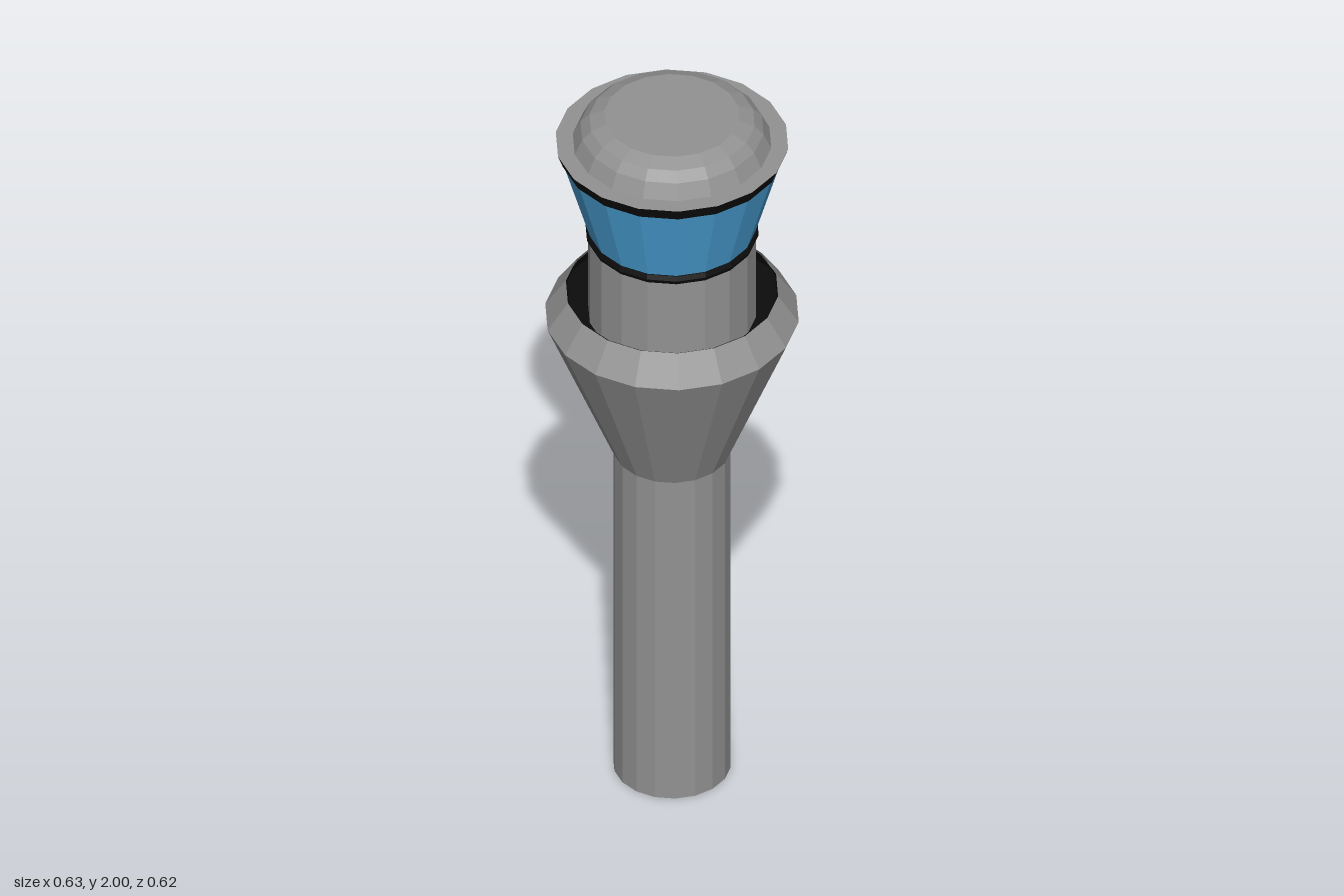
import * as THREE from 'three';

const SIDES = 18;

export function createModel() {
  const tower = new THREE.Group();
  tower.name = 'controlTower';

  const material = (name, color, options = {}) =>
    new THREE.MeshStandardMaterial({ name, color, ...options });
  const concrete = material('concrete grey', 0x929292, { flatShading: true, side: THREE.DoubleSide });
  const glass = material('window blue', 0x4ba2d8, { flatShading: true, side: THREE.DoubleSide });
  const trim = material('trim black', 0x0c0c0c, { flatShading: true, side: THREE.DoubleSide });

  // Turns a profile of [radius, height] points, listed bottom to top, around the axis
  const turn = (name, profile, mat) => {
    const points = profile.map(([r, y]) => new THREE.Vector2(r, y));
    const geometry = new THREE.LatheGeometry(points, SIDES, Math.PI / 2);
    const mesh = new THREE.Mesh(geometry, mat);
    mesh.name = name;
    tower.add(mesh);
  };

  // Hollow shaft and the flared collar on top of it
  turn('shaft', [[0.145, 0], [0.145, 0.98]], concrete);
  turn('collar', [[0.145, 0.975], [0.313, 1.39], [0.262, 1.465]], concrete);

  // Dark recess inside the collar
  turn('collarRecess', [[0.2, 1.395], [0.298, 1.395], [0.258, 1.463]], trim);

  // Neck below the cab
  turn('neck', [[0.207, 1.39], [0.207, 1.65]], concrete);

  // Cab: sill, slanted windows and top band
  turn('windowSill', [[0.2, 1.638], [0.209, 1.638], [0.214, 1.65], [0.209, 1.662], [0.2, 1.662]], trim);
  turn('windows', [[0.203, 1.65], [0.272, 1.89]], glass);
  turn('roofBand', [[0.268, 1.889], [0.275, 1.889], [0.287, 1.922]], trim);

  // Flat roof ledge and low dome
  turn('roofLedge', [[0.287, 1.922], [0.24, 1.922]], concrete);
  turn('roofDome', [[0.245, 1.922], [0.226, 1.962], [0.204, 1.985], [0.167, 2], [0, 2]], concrete);

  return tower;
}
